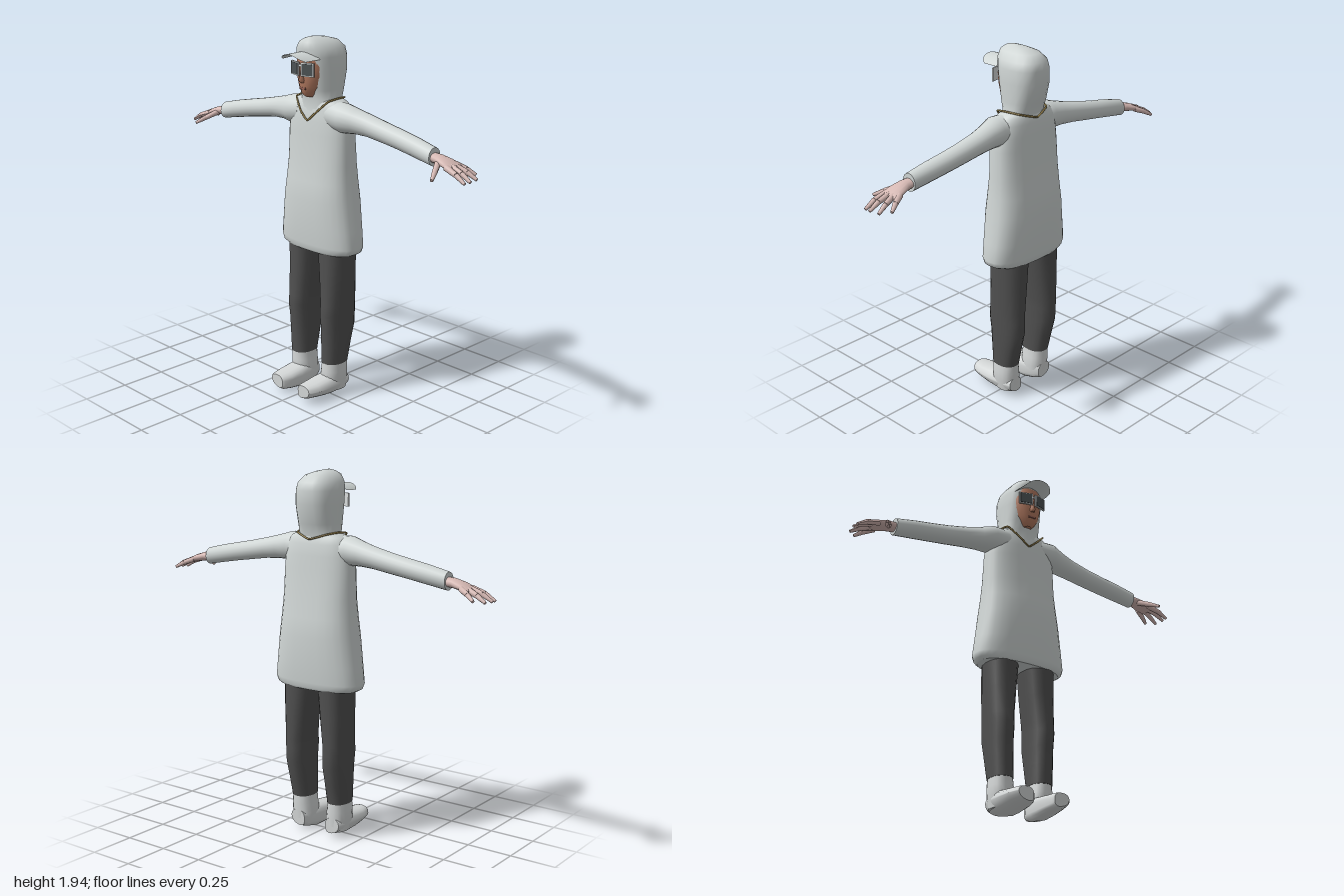
import * as THREE from 'three';

const mat = (name, color, side = THREE.FrontSide) => {
  const m = new THREE.MeshStandardMaterial({ color, side });
  m.name = name;
  return m;
};

// Closed loft along an axis (0 x, 1 y, 2 z); b is the next axis, a the one after.
// Each section is [position, centreA, centreB, radiusA, radiusB]; n is the superellipse power.
function loft(axis, sections, sides = 20, n = 2) {
  const a = (axis + 2) % 3, b = (axis + 1) % 3, pos = [], idx = [];
  const put = (s, ca, cb) => {
    const p = [0, 0, 0];
    p[axis] = s; p[a] = ca; p[b] = cb;
    return pos.push(...p) / 3 - 1;
  };
  const pow = (v) => Math.sign(v) * Math.abs(v) ** (2 / n);
  const ring = ([s, ca, cb, ra, rb]) => {
    const start = pos.length / 3;
    for (let j = 0; j < sides; j++) {
      const t = (j / sides) * Math.PI * 2;
      put(s, ca + ra * pow(Math.cos(t)), cb + rb * pow(Math.sin(t)));
    }
    return start;
  };
  const rings = sections.map(ring);
  for (let i = 0; i + 1 < rings.length; i++) {
    for (let j = 0; j < sides; j++) {
      const k = (j + 1) % sides, lo = rings[i], hi = rings[i + 1];
      idx.push(lo + j, hi + j, lo + k, hi + j, hi + k, lo + k);
    }
  }
  // End caps use their own vertices so the rims stay sharp
  [sections[0], sections[sections.length - 1]].forEach((sec, end) => {
    const r = ring(sec), c = put(sec[0], sec[1], sec[2]);
    for (let j = 0; j < sides; j++) {
      const k = (j + 1) % sides;
      if (end) idx.push(c, r + k, r + j); else idx.push(c, r + j, r + k);
    }
  });
  const g = new THREE.BufferGeometry();
  g.setAttribute('position', new THREE.Float32BufferAttribute(pos, 3));
  g.setIndex(idx);
  g.computeVertexNormals();
  return g;
}

// Tapered round rod between two points
function rod(p, q, r0, r1) {
  const a = new THREE.Vector3(...p), d = new THREE.Vector3(...q).sub(a);
  const g = new THREE.CylinderGeometry(r1, r0, d.length(), 8);
  g.applyQuaternion(new THREE.Quaternion().setFromUnitVectors(new THREE.Vector3(0, 1, 0), d.clone().normalize()));
  return g.translate(a.x + d.x / 2, a.y + d.y / 2, a.z + d.z / 2);
}

// Copy reflected in x, with the winding turned round
function mirrored(g) {
  const m = g.clone(), p = m.attributes.position, i = m.index.array;
  for (let k = 0; k < p.count; k++) p.setX(k, -p.getX(k));
  for (let k = 0; k < i.length; k += 3) [i[k], i[k + 1]] = [i[k + 1], i[k]];
  m.computeVertexNormals();
  return m;
}

export function createModel() {
  const group = new THREE.Group();
  group.name = 'hoodedFigure';
  const cloth = mat('pale grey cloth', 0xd0d6d5, THREE.DoubleSide);
  const trousers = mat('charcoal trousers', 0x505050);
  const shoes = mat('off white shoes', 0xd4d7d7);
  const hands = mat('pink skin', 0xd6b9b4);
  const skin = mat('tan skin', 0xb67c62);
  const lips = mat('lips', 0x9a6558);
  const lens = mat('dark lens', 0x4c5254);
  const frame = mat('light frame', 0xd9dddd);
  const gold = mat('gold', 0xa08a52);

  const add = (name, g, m) => {
    const mesh = new THREE.Mesh(g, m);
    mesh.name = name;
    group.add(mesh);
    return mesh;
  };
  const pair = (name, g, m) => {
    add('left' + name, g, m);
    add('right' + name, mirrored(g), m);
  };

  // Long flared top
  add('tunic', loft(1, [
    [0.82, 0, -0.05, 0.235, 0.11], [0.832, 0, -0.05, 0.255, 0.118], [0.86, 0, -0.05, 0.265, 0.122],
    [0.95, 0, -0.05, 0.252, 0.129], [1.1, 0, -0.05, 0.232, 0.135], [1.2, 0, -0.05, 0.22, 0.125],
    [1.3, 0, -0.05, 0.212, 0.112], [1.45, 0, -0.047, 0.208, 0.101], [1.52, 0, -0.047, 0.2, 0.098],
    [1.58, 0, -0.047, 0.185, 0.09], [1.615, 0, -0.047, 0.165, 0.08], [1.632, 0, -0.047, 0.12, 0.07],
  ], 28, 2.5), cloth);

  // Sleeves with open-looking cuffs
  pair('Sleeve', loft(0, [
    [0.1, -0.035, 1.55, 0.075, 0.075], [0.19, -0.03, 1.548, 0.08, 0.076], [0.26, -0.042, 1.54, 0.067, 0.064],
    [0.34, -0.052, 1.528, 0.059, 0.056], [0.45, -0.055, 1.508, 0.054, 0.052], [0.55, -0.054, 1.491, 0.052, 0.05],
    [0.66, -0.048, 1.471, 0.049, 0.049], [0.768, -0.042, 1.449, 0.043, 0.046],
  ], 18), cloth);

  // Hands: palm, four bent fingers and a thumb
  pair('Palm', loft(0, [
    [0.75, -0.042, 1.447, 0.03, 0.024], [0.8, -0.042, 1.443, 0.038, 0.025],
    [0.85, -0.044, 1.432, 0.052, 0.021], [0.89, -0.046, 1.419, 0.055, 0.015], [0.9, -0.046, 1.415, 0.045, 0.009],
  ], 14), hands);
  const fingers = [
    ['IndexFinger', [0.87, -0.005, 1.422], [0.94, 0.005, 1.4], [0.995, 0.008, 1.368]],
    ['MiddleFinger', [0.88, -0.033, 1.424], [0.945, -0.03, 1.402], [1.0, -0.028, 1.37]],
    ['RingFinger', [0.88, -0.06, 1.422], [0.942, -0.075, 1.4], [0.993, -0.085, 1.371]],
    ['LittleFinger', [0.86, -0.083, 1.425], [0.91, -0.108, 1.405], [0.952, -0.13, 1.38]],
    ['Thumb', [0.81, -0.02, 1.435], [0.845, 0.045, 1.405], [0.872, 0.098, 1.378]],
  ];
  for (const [name, ...pts] of fingers) {
    const [p, q, r] = pts.map(([x, z, y]) => [x, y, z]);
    pair(name + 'Base', rod(p, q, 0.016, 0.0135), hands);
    pair(name + 'Tip', rod(q, r, 0.0135, 0.008), hands);
  }

  // Trouser legs
  pair('TrouserLeg', loft(1, [
    [0.195, 0.117, -0.03, 0.059, 0.076], [0.3, 0.119, -0.04, 0.062, 0.09], [0.4, 0.121, -0.05, 0.065, 0.104],
    [0.48, 0.122, -0.046, 0.067, 0.11], [0.53, 0.122, -0.049, 0.068, 0.107],
    [0.68, 0.116, -0.052, 0.079, 0.105], [0.88, 0.108, -0.052, 0.092, 0.106],
  ], 18, 2.3), trousers);

  // Shoes: ankle shaft and a foot whose outer edge lifts slightly
  pair('ShoeShaft', loft(1, [
    [0.04, 0.11, -0.035, 0.058, 0.065], [0.1, 0.112, -0.028, 0.066, 0.074],
    [0.15, 0.116, -0.03, 0.062, 0.074], [0.203, 0.117, -0.03, 0.056, 0.073],
  ], 18, 2.3), shoes);
  const foot = loft(2, [
    [-0.1, 0.07, 0.115, 0.045, 0.045], [-0.06, 0.07, 0.112, 0.055, 0.06], [0, 0.068, 0.108, 0.062, 0.068],
    [0.06, 0.066, 0.107, 0.056, 0.07], [0.13, 0.066, 0.106, 0.046, 0.066], [0.18, 0.068, 0.104, 0.041, 0.054],
    [0.192, 0.07, 0.104, 0.036, 0.044],
  ], 18, 2.5);
  const fp = foot.attributes.position;
  for (let i = 0; i < fp.count; i++) {
    if (fp.getY(i) < 0.066) fp.setY(i, Math.max(0, fp.getY(i) + 0.25 * (fp.getX(i) - 0.09)));
  }
  foot.computeVertexNormals();
  pair('ShoeFoot', foot, shoes);

  // Hood
  add('hood', loft(1, [
    [1.57, 0, -0.04, 0.125, 0.085], [1.63, 0, -0.045, 0.11, 0.083], [1.68, 0, -0.047, 0.108, 0.104],
    [1.78, 0, -0.05, 0.112, 0.125], [1.85, 0, -0.045, 0.11, 0.131], [1.89, 0, -0.038, 0.1, 0.13],
    [1.925, 0, -0.022, 0.07, 0.11], [1.942, 0, 0, 0.035, 0.065], [1.95, 0, 0.02, 0.006, 0.012],
  ], 20, 2.5), cloth);

  // Cap brim arching over the brow
  const brim = new THREE.PlaneGeometry(2, 1, 12, 4);
  const bp = brim.attributes.position;
  for (let i = 0; i < bp.count; i++) {
    const u = bp.getX(i), v = 0.5 - bp.getY(i);
    bp.setXYZ(i, 0.092 * u * (1 - 0.1 * v), 1.878 - 0.034 * u * u - 0.004 * v, 0.055 + 0.135 * v * (1 - 0.3 * u ** 4));
  }
  brim.computeVertexNormals();
  add('capBrim', brim, cloth);

  // Face, nose and mouth
  add('face', loft(1, [
    [1.645, 0, 0.03, 0.025, 0.035], [1.662, 0, 0.015, 0.045, 0.07], [1.7, 0, 0, 0.073, 0.094],
    [1.75, 0, 0, 0.088, 0.098], [1.8, 0, 0, 0.094, 0.1], [1.868, 0, 0, 0.09, 0.095],
  ], 20), skin);
  add('nose', loft(1, [
    [1.722, 0, 0.094, 0.012, 0.01], [1.735, 0, 0.096, 0.016, 0.02],
    [1.76, 0, 0.095, 0.01, 0.014], [1.8, 0, 0.093, 0.006, 0.009],
  ], 8), skin);
  const mouth = add('mouth', new THREE.BoxGeometry(0.04, 0.011, 0.008), lips);
  mouth.position.set(0, 1.692, 0.09);

  // Square sunglasses
  for (const s of [-1, 1]) {
    const side = s > 0 ? 'left' : 'right';
    const rim = add(side + 'GlassesRim', new THREE.BoxGeometry(0.076, 0.07, 0.008), frame);
    rim.position.set(s * 0.045, 1.792, 0.1);
    const glass = add(side + 'Lens', new THREE.BoxGeometry(0.064, 0.058, 0.008), lens);
    glass.position.set(s * 0.0457, 1.792, 0.1025);
    rim.rotation.y = glass.rotation.y = s * 0.28;
  }
  const bridge = add('glassesBridge', new THREE.BoxGeometry(0.03, 0.01, 0.008), frame);
  bridge.position.set(0, 1.81, 0.106);

  // Thin necklace hanging in a V at the front and dipping at the nape
  const half = [[0.055, 1.567, 0.055], [0.115, 1.628, 0.025], [0.122, 1.638, -0.04], [0.095, 1.632, -0.115]];
  const loop = [[0, 1.522, 0.06], ...half, [0, 1.605, -0.142], ...half.map(([x, y, z]) => [-x, y, z]).reverse()];
  const chain = new THREE.CatmullRomCurve3(loop.map((p) => new THREE.Vector3(...p)), true, 'catmullrom', 0.2);
  add('necklace', new THREE.TubeGeometry(chain, 80, 0.005, 6, true), gold);

  return group;
}
